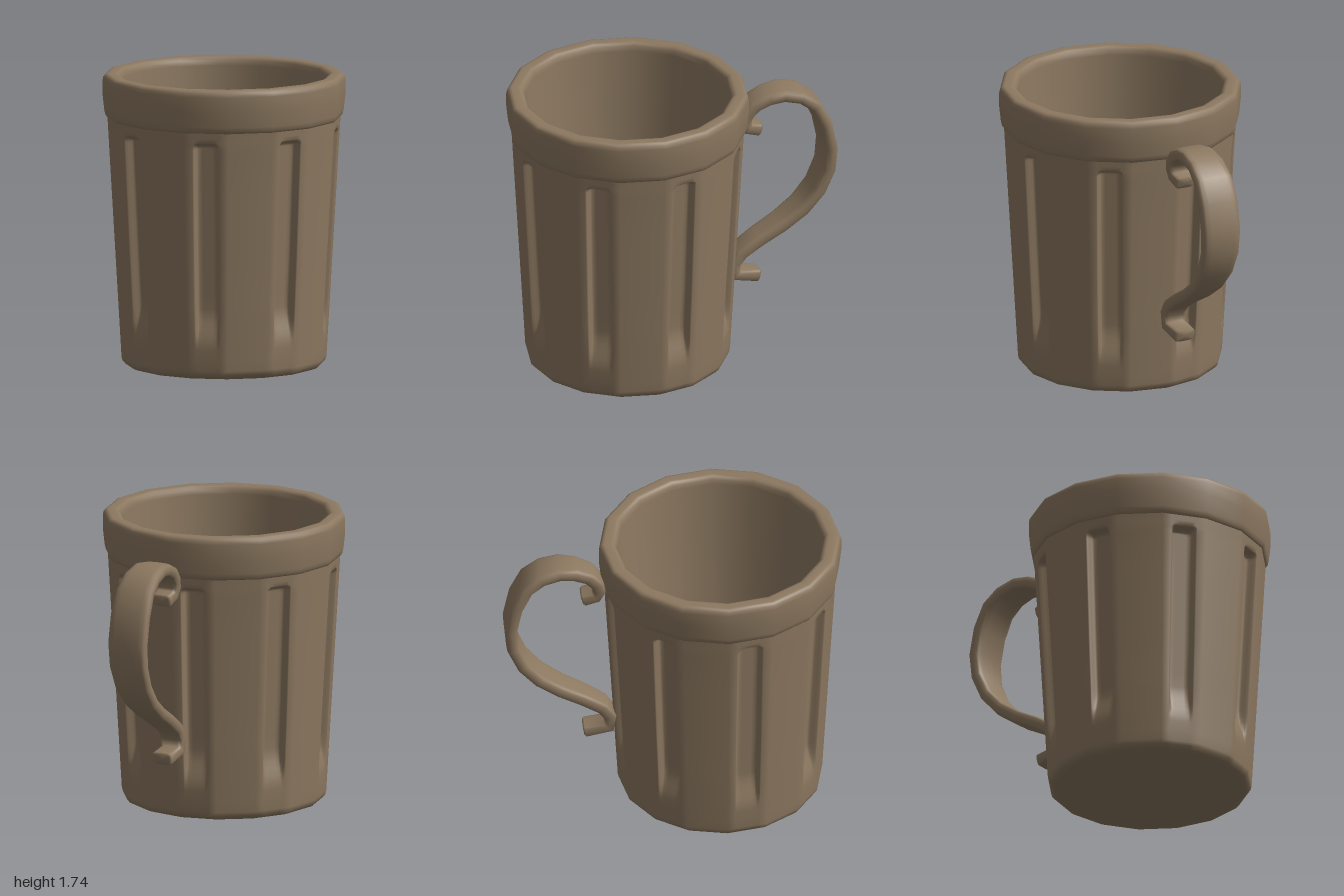
import * as THREE from 'three';

const material = new THREE.MeshStandardMaterial({ color: 0x8c7860 });
const SIDES = 16;

// Closed loft: rings is an array of equally long arrays of Vector3
function loft(rings) {
  const n = rings[0].length, index = [];
  const geometry = new THREE.BufferGeometry().setFromPoints(rings.flat());
  for (let i = 0; i < rings.length - 1; i++) {
    for (let j = 0; j < n; j++) {
      const a = i * n + j, b = i * n + (j + 1) % n;
      index.push(a, b, b + n, a, b + n, a + n);
    }
  }
  geometry.setIndex(index);
  geometry.computeVertexNormals();
  return geometry;
}

// Depth of a flute at sideways distance s from its middle and height y
function fluteDepth(s, y) {
  const corner = 0.04;
  const dx = Math.max(corner - (0.08 - Math.abs(s)), 0);
  const dy = Math.max(corner - (1.425 - y), 0);
  const inside = corner - Math.hypot(dx, dy);
  return 0.055 * THREE.MathUtils.smoothstep(y, 0.18, 0.42) * THREE.MathUtils.smoothstep(inside, 0, 0.028);
}

// Tapered sixteen-sided body with a flute in every other face
function bodyGeometry() {
  const rows = [[0, 0], [0.5, 0], [0.55, 0.002], [0.58, 0.013], [0.597, 0.032], [0.603, 0.055]];
  const heights = [0.12, 0.18, 0.22, 0.26, 0.3, 0.34, 0.38, 0.42, 0.5, 0.7, 0.9, 1.1, 1.3,
    1.37, 1.385, 1.395, 1.405, 1.411, 1.417, 1.425, 1.45, 1.5];
  for (const y of heights) rows.push([0.603 + (y - 0.055) * 0.058, y]);
  const half = [0.08, 0.074, 0.067, 0.06, 0.052, 0.03];
  const offsets = [...half.map(v => -v), 0, ...half.slice().reverse()];
  const step = Math.PI * 2 / SIDES;

  return loft(rows.map(([r, y]) => {
    const ring = [];
    for (let k = 0; k < SIDES; k++) {
      ring.push(new THREE.Vector3(r * Math.sin(k * step), y, r * Math.cos(k * step)));
      if (k % 2) continue;
      const mid = (k + 0.5) * step, apothem = r * Math.cos(step / 2);
      for (const o of offsets) {
        const s = o * Math.min(r / 0.64, 1);
        const d = apothem - fluteDepth(o, y);
        ring.push(new THREE.Vector3(
          d * Math.sin(mid) + s * Math.cos(mid), y, d * Math.cos(mid) - s * Math.sin(mid)));
      }
    }
    return ring;
  }));
}

// Rim band, lip, inner wall and floor in one turned profile
function rimGeometry() {
  const profile = [
    [0.62, 1.478], [0.675, 1.478], [0.688, 1.482], [0.698, 1.495], [0.704, 1.52], [0.715, 1.62],
    [0.715, 1.7], [0.71, 1.722], [0.7, 1.735], [0.685, 1.74], [0.645, 1.74], [0.628, 1.735],
    [0.615, 1.72], [0.61, 1.69], [0.595, 1.45], [0.515, 0.4], [0.5, 0.27], [0.47, 0.18],
    [0.42, 0.135], [0.34, 0.12], [0, 0.12],
  ];
  return new THREE.LatheGeometry(profile.map(p => new THREE.Vector2(...p)), SIDES);
}

// Scrolled strap handle: rounded section swept along a path, broadest at its back
function handleGeometry() {
  // z, y, half width
  const path = [
    [-0.525, 1.37, 0.065], [-0.455, 1.39, 0.068], [-0.435, 1.43, 0.072], [-0.447, 1.48, 0.078],
    [-0.495, 1.535, 0.085], [-0.578, 1.572, 0.095], [-0.67, 1.585, 0.105], [-0.775, 1.557, 0.112],
    [-0.862, 1.49, 0.118], [-0.925, 1.36, 0.122], [-0.958, 1.2, 0.122], [-0.945, 1.06, 0.118],
    [-0.885, 0.925, 0.112], [-0.787, 0.812, 0.103], [-0.66, 0.722, 0.093], [-0.53, 0.65, 0.085],
    [-0.415, 0.575, 0.077], [-0.37, 0.51, 0.072], [-0.378, 0.435, 0.07], [-0.515, 0.41, 0.066],
  ];
  const points = path.map(([z, y]) => new THREE.Vector3(0, y, z));
  const last = points.length - 1, around = 16;
  const pow = v => Math.sign(v) * Math.sqrt(Math.abs(v));
  const ringAt = (i, scale, push) => {
    const before = points[Math.max(i - 1, 0)], after = points[Math.min(i + 1, last)];
    const d1 = points[i].clone().sub(before).normalize();
    const d2 = after.clone().sub(points[i]).normalize();
    const t = d1.add(d2).normalize();
    const normal = new THREE.Vector3(0, t.z, -t.y);
    const ring = [];
    for (let j = 0; j < around; j++) {
      const a = j / around * Math.PI * 2;
      const p = points[i].clone().addScaledVector(t, push);
      p.x = path[i][2] * scale * pow(Math.cos(a));
      ring.push(p.addScaledVector(normal, -0.039 * scale * pow(Math.sin(a))));
    }
    return ring;
  };
  const rings = [ringAt(0, 0, -0.012), ringAt(0, 0.8, -0.012)];
  points.forEach((_, i) => rings.push(ringAt(i, 1, 0)));
  rings.push(ringAt(last, 0.8, 0.012), ringAt(last, 0, 0.012));

  // Turn the skin outward if the sweep came out reversed
  const geometry = loft(rings);
  const pos = geometry.attributes.position, idx = geometry.index.array;
  const a = new THREE.Vector3(), b = new THREE.Vector3(), c = new THREE.Vector3();
  let volume = 0;
  for (let i = 0; i < idx.length; i += 3) {
    a.fromBufferAttribute(pos, idx[i]);
    b.fromBufferAttribute(pos, idx[i + 1]);
    c.fromBufferAttribute(pos, idx[i + 2]);
    volume += a.dot(b.cross(c));
  }
  if (volume < 0) {
    idx.reverse();
    geometry.computeVertexNormals();
  }
  return geometry;
}

export function createModel() {
  const mug = new THREE.Group();
  mug.name = 'mug';
  const add = (name, geometry, z) => {
    const mesh = new THREE.Mesh(geometry, material);
    mesh.name = name;
    mesh.position.z = z;
    mug.add(mesh);
  };
  add('flutedBody', bodyGeometry(), 0.28);
  add('rimAndInside', rimGeometry(), 0.28);
  add('handle', handleGeometry(), 0);
  return mug;
}
